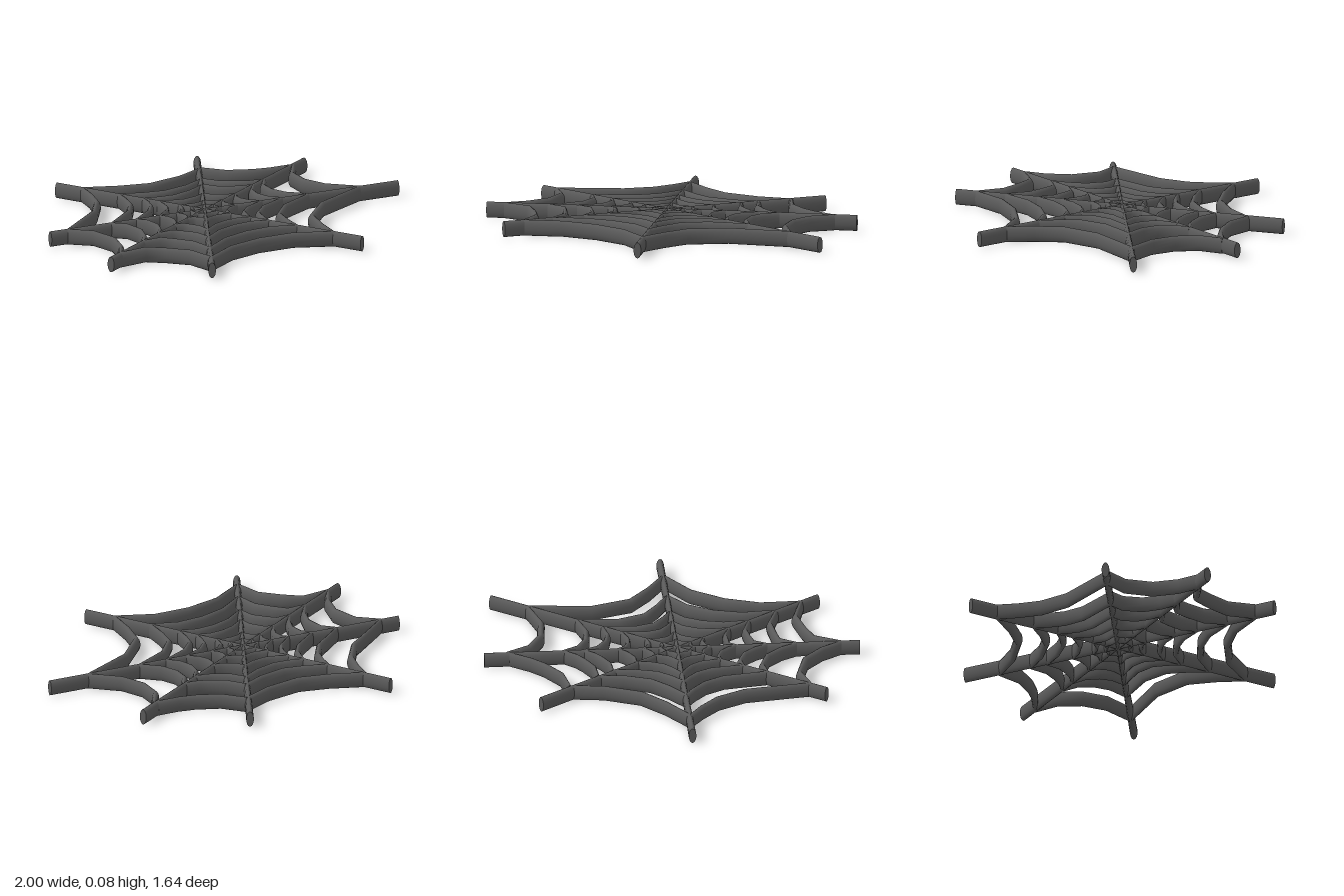
import * as THREE from 'three';

const HALF_HEIGHT = 0.042;
const CENTRE = [-0.11, -0.025];
const SIDES = 14;

// Outer ring around the hub: every fourth point lies on a spoke, the rest sag inward
const OUTER = [
  [0.89, 0.11], [0.76, -0.02], [0.71, -0.15], [0.72, -0.28],
  [0.80, -0.39], [0.66, -0.405], [0.57, -0.43], [0.45, -0.49],
  [0.36, -0.60], [0.19, -0.54], [-0.01, -0.52], [-0.17, -0.57],
  [-0.34, -0.65], [-0.36, -0.54], [-0.40, -0.42], [-0.50, -0.29],
  [-0.79, -0.095], [-0.69, 0], [-0.66, 0.15], [-0.70, 0.28],
  [-0.77, 0.385], [-0.61, 0.38], [-0.53, 0.45], [-0.44, 0.55],
  [-0.41, 0.70], [-0.22, 0.60], [-0.03, 0.57], [0.17, 0.59],
  [0.36, 0.685], [0.38, 0.53], [0.42, 0.38], [0.58, 0.23],
];

// Spoke tips relative to the hub
const TIPS = [
  [1.108, 0.138], [0.905, -0.45], [0.45, -0.775], [-0.41, -0.79],
  [-0.888, -0.11], [-0.855, 0.425], [-0.465, 0.795], [0.44, 0.835],
];

// Where each ring crosses each spoke, as a fraction of the outer ring
const RINGS = [
  Array(8).fill(1),
  [0.67, 0.67, 0.74, 0.70, 0.68, 0.73, 0.80, 0.72],
  [0.50, 0.55, 0.60, 0.50, 0.50, 0.55, 0.58, 0.50],
  [0.37, 0.35, 0.38, 0.38, 0.33, 0.36, 0.42, 0.36],
  Array(8).fill(0.21),
  Array(8).fill(0.11),
];

// Sweeps an upright oval section along a flat path, mitred at the bends and capped
function strandGeometry(path, widths) {
  const positions = [], indices = [];
  const pts = path.map(([x, z]) => new THREE.Vector2(x + CENTRE[0], z + CENTRE[1]));
  const last = pts.length - 1;
  const addRing = (i) => {
    const p = pts[i];
    const before = (i > 0 ? p.clone().sub(pts[i - 1]) : pts[1].clone().sub(p)).normalize();
    const after = (i < last ? pts[i + 1].clone().sub(p) : before.clone()).normalize();
    const t = before.clone().add(after).normalize();
    const w = widths(i / last) / Math.max(0.6, t.dot(before));
    const start = positions.length / 3;
    for (let j = 0; j < SIDES; j++) {
      const a = (j / SIDES) * Math.PI * 2 + Math.PI / SIDES;
      const c = Math.cos(a) * w;
      positions.push(p.x + t.y * c, HALF_HEIGHT * (1 + Math.sin(a) / Math.cos(Math.PI / SIDES * 0.5)), p.y - t.x * c);
    }
    return start;
  };
  const rings = pts.map((_, i) => addRing(i));
  for (let i = 0; i < last; i++) {
    for (let j = 0; j < SIDES; j++) {
      const k = (j + 1) % SIDES;
      const a = rings[i] + j, b = rings[i] + k, c = rings[i + 1] + j, d = rings[i + 1] + k;
      indices.push(a, b, c, b, d, c);
    }
  }
  // Flat end caps
  const s = addRing(0), e = addRing(last);
  for (let j = 1; j < SIDES - 1; j++) {
    indices.push(s, s + j + 1, s + j, e, e + j, e + j + 1);
  }
  const geometry = new THREE.BufferGeometry();
  geometry.setAttribute('position', new THREE.Float32BufferAttribute(positions, 3));
  geometry.setIndex(indices);
  geometry.computeVertexNormals();
  return geometry;
}

export function createModel() {
  const model = new THREE.Group();
  model.name = 'spiderWeb';
  const material = new THREE.MeshStandardMaterial({ color: 0x5a5a5a });

  // Spokes, slightly thinner toward the hub
  const spokes = new THREE.Group();
  spokes.name = 'spokes';
  TIPS.forEach((tip) => {
    const path = [0, 0.5, 1].map((f) => [tip[0] * f, tip[1] * f]);
    const mesh = new THREE.Mesh(strandGeometry(path, (t) => 0.013 + 0.007 * t), material);
    mesh.name = 'spoke';
    spokes.add(mesh);
  });
  model.add(spokes);

  // Sagging strands between neighbouring spokes, ring by ring
  RINGS.forEach((fractions, r) => {
    const ring = new THREE.Group();
    ring.name = 'webRing' + (r + 1);
    const halfWidth = 0.021 - 0.0016 * r;
    for (let s = 0; s < 8; s++) {
      const path = [];
      for (let k = 0; k <= 4; k++) {
        const f = THREE.MathUtils.lerp(fractions[s], fractions[(s + 1) % 8], k / 4);
        const [x, z] = OUTER[(s * 4 + k) % 32];
        path.push([x * f, z * f]);
      }
      // Strands narrow a little where they join the spokes
      const taper = (t) => halfWidth * (0.75 + 0.25 * Math.sin(Math.PI * t));
      const mesh = new THREE.Mesh(strandGeometry(path, taper), material);
      mesh.name = 'strand';
      ring.add(mesh);
    }
    model.add(ring);
  });

  return model;
}
